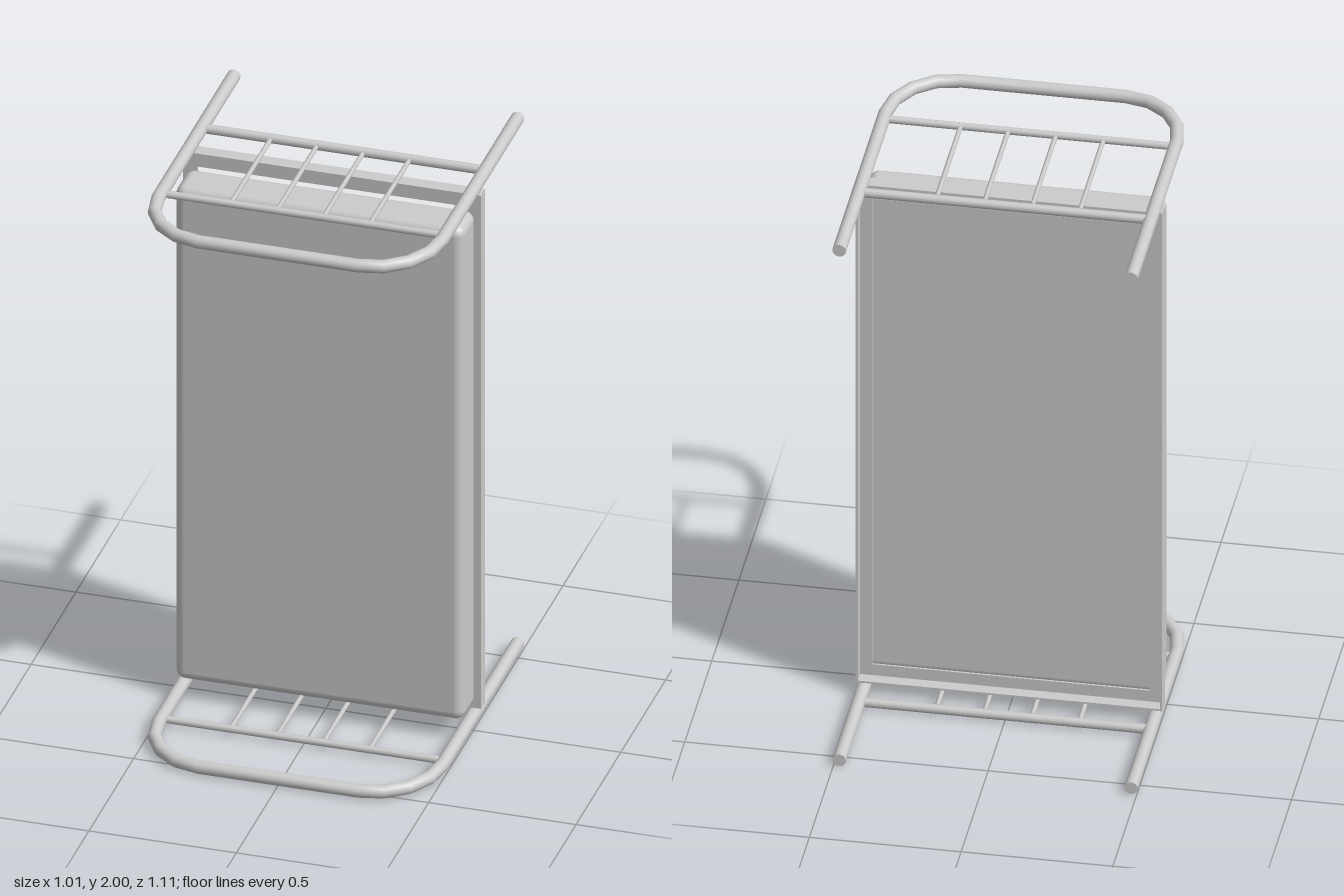
import * as THREE from 'three';
import { RoundedBoxGeometry } from 'three/addons/geometries/RoundedBoxGeometry.js';

const grey = new THREE.MeshStandardMaterial({ color: 0xcccccc });
const TUBE_R = 0.0225;

function add(parent, name, geometry, x = 0, y = 0, z = 0) {
  const mesh = new THREE.Mesh(geometry, grey);
  mesh.name = name;
  mesh.position.set(x, y, z);
  parent.add(mesh);
  return mesh;
}

// Curve that visits exactly the given points, so bends stay as short straight pieces
class BentPath extends THREE.Curve {
  constructor(points) {
    super();
    this.points = points;
  }
  getPointAt(u) {
    return this.points[Math.round(u * (this.points.length - 1))].clone();
  }
  getTangentAt(u) {
    const p = this.points, i = Math.round(u * (p.length - 1));
    const t = new THREE.Vector3();
    if (i > 0) t.add(p[i].clone().sub(p[i - 1]).normalize());
    if (i < p.length - 1) t.add(p[i + 1].clone().sub(p[i]).normalize());
    return t.normalize();
  }
}

// Bent tube hoop with two cross rails and four thin bars
function createBedEnd(name, y) {
  const end = new THREE.Group();
  end.name = name;
  end.position.y = y;

  const half = [new THREE.Vector3(0.481, 0, -0.557)];
  for (let i = 0; i <= 4; i++) {
    const a = (i / 4) * Math.PI / 2;
    half.push(new THREE.Vector3(0.27 + 0.211 * Math.cos(a), 0, 0.29 + 0.24 * Math.sin(a)));
  }
  const mirrored = half.map(p => new THREE.Vector3(-p.x, 0, p.z)).reverse();
  const path = new BentPath([...half, ...mirrored]);
  add(end, 'hoop', new THREE.TubeGeometry(path, path.points.length - 1, TUBE_R, 16, false));

  // Closed leg ends
  for (const x of [-0.481, 0.481]) {
    add(end, 'legCap', new THREE.CircleGeometry(TUBE_R, 16), x, 0, -0.557).rotation.y = Math.PI;
  }

  for (const [z, r] of [[-0.194, 0.016], [0.258, 0.0125]]) {
    add(end, 'crossRail', new THREE.CylinderGeometry(r, r, 0.94, 12), 0, 0, z).rotation.z = Math.PI / 2;
  }
  for (let i = 0; i < 4; i++) {
    add(end, 'bar', new THREE.CylinderGeometry(0.008, 0.008, 0.44, 10), -0.245 + i * 0.157, 0, 0.032)
      .rotation.x = Math.PI / 2;
  }
  return end;
}

// Rectangular ring, extruded along z
function ringGeometry(w, h, border, depth) {
  const rect = (Type, a, b) => new Type([
    new THREE.Vector2(-a, -b), new THREE.Vector2(a, -b),
    new THREE.Vector2(a, b), new THREE.Vector2(-a, b),
  ]);
  const shape = rect(THREE.Shape, w / 2, h / 2);
  shape.holes.push(rect(THREE.Path, w / 2 - border, h / 2 - border));
  return new THREE.ExtrudeGeometry(shape, { depth, bevelEnabled: false });
}

export function createModel() {
  const bed = new THREE.Group();
  bed.name = 'bed';

  bed.add(createBedEnd('headEnd', 2 - TUBE_R));
  bed.add(createBedEnd('footEnd', TUBE_R));

  // Angle-section frame: outer wall plus a flange under the mattress
  const frame = new THREE.Group();
  frame.name = 'bedFrame';
  frame.position.y = 1;
  add(frame, 'frameWall', ringGeometry(1.01, 1.91, 0.007, 0.049), 0, 0, -0.115);
  add(frame, 'frameFlange', ringGeometry(1.009, 1.909, 0.048, 0.007), 0, 0, -0.0735);
  bed.add(frame);

  add(bed, 'mattress', new RoundedBoxGeometry(0.98, 1.835, 0.15, 4, 0.034), 0, 0.9875, 0.009);

  return bed;
}
